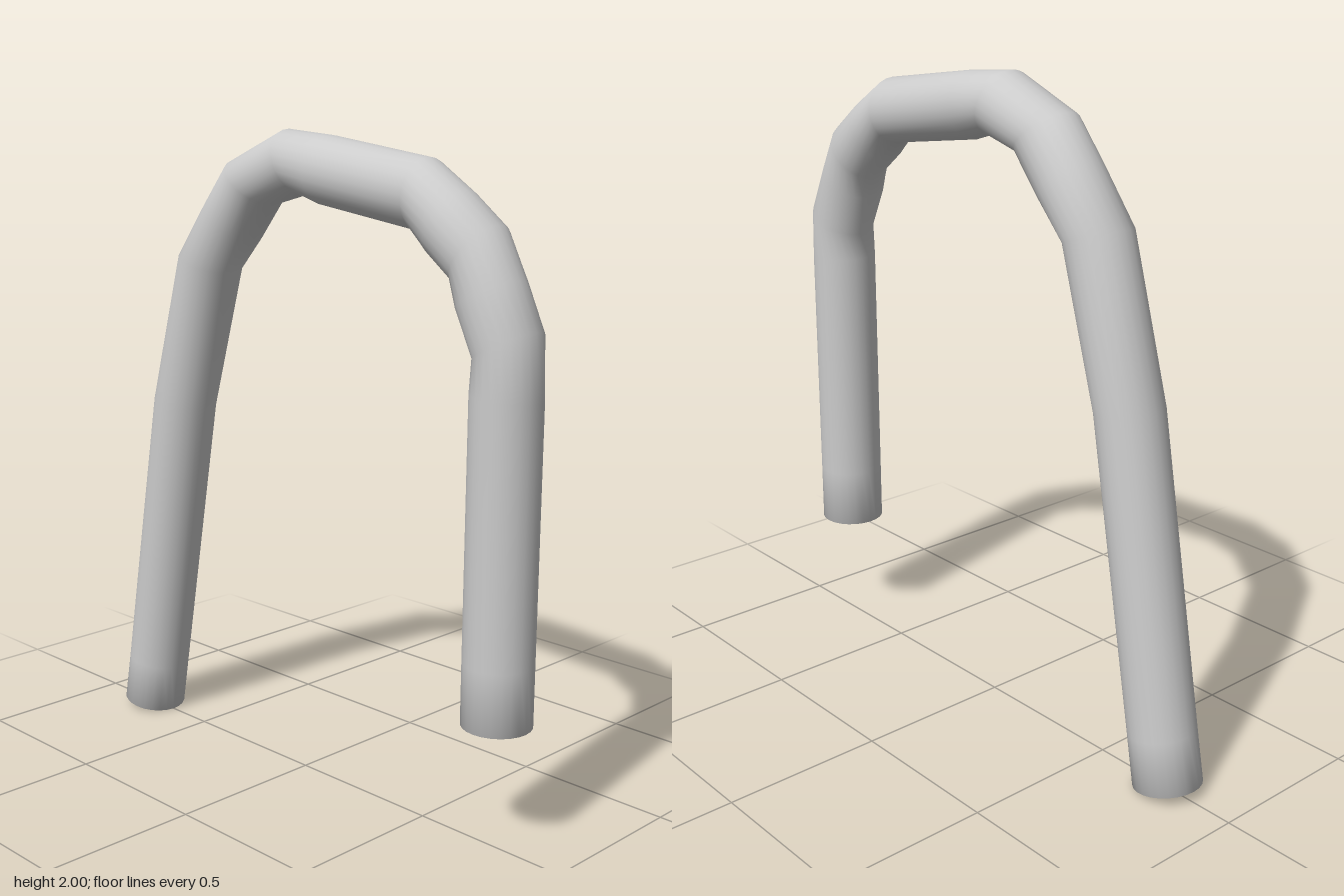
import * as THREE from 'three';

const SIDES = 24;
const RADIUS = 0.103;

// Sections along the bent tube: outer z, outer y, inner z, inner y
const SECTIONS = [
  [0.87, 0.375, 0.665, 0.375],
  [0.87, 0.56, 0.665, 0.56],
  [0.87, 1.3, 0.667, 1.32],
  [0.86, 1.49, 0.677, 1.4],
  [0.8, 1.62, 0.615, 1.53],
  [0.725, 1.76, 0.6, 1.6],
  [0.615, 1.845, 0.51, 1.67],
  [0.48, 1.93, 0.455, 1.73],
  [0.1, 1.985, 0.08, 1.785],
  [-0.07, 2.0, 0.0, 1.81],
  [-0.3, 1.905, -0.14, 1.775],
  [-0.4, 1.785, -0.235, 1.66],
  [-0.53, 1.615, -0.335, 1.555],
  [-0.67, 1.13, -0.47, 1.1],
  [-0.837, 0.2, -0.637, 0.165],
  [-0.868, 0.038, -0.665, 0.003],
];

function bentTube(sections) {
  const positions = [];
  const indices = [];

  // One mitred ring per section
  for (const [oz, oy, iz, iy] of sections) {
    for (let j = 0; j < SIDES; j++) {
      const a = (j / SIDES) * Math.PI * 2;
      const c = Math.cos(a) / 2;
      positions.push(
        RADIUS * Math.sin(a),
        (oy + iy) / 2 + c * (oy - iy),
        (oz + iz) / 2 + c * (oz - iz),
      );
    }
  }

  // Wall between neighbouring rings
  for (let i = 0; i < sections.length - 1; i++) {
    for (let j = 0; j < SIDES; j++) {
      const k = (j + 1) % SIDES;
      const a = i * SIDES + j;
      const b = i * SIDES + k;
      indices.push(a, b, a + SIDES, b, b + SIDES, a + SIDES);
    }
  }

  // End caps share the rim vertices, which softens the ends
  const last = sections.length - 1;
  for (const ring of [0, last]) {
    const [oz, oy, iz, iy] = sections[ring];
    const centre = positions.length / 3;
    positions.push(0, (oy + iy) / 2, (oz + iz) / 2);
    for (let j = 0; j < SIDES; j++) {
      const a = ring * SIDES + j;
      const b = ring * SIDES + ((j + 1) % SIDES);
      if (ring === 0) indices.push(centre, b, a);
      else indices.push(centre, a, b);
    }
  }

  const geometry = new THREE.BufferGeometry();
  geometry.setAttribute('position', new THREE.Float32BufferAttribute(positions, 3));
  geometry.setIndex(indices);
  geometry.computeVertexNormals();
  return geometry;
}

export function createModel() {
  const group = new THREE.Group();
  group.name = 'bentPipe';
  const pipe = new THREE.Mesh(
    bentTube(SECTIONS),
    new THREE.MeshStandardMaterial({ color: 0xcccccc }),
  );
  pipe.name = 'pipe';
  group.add(pipe);
  return group;
}
